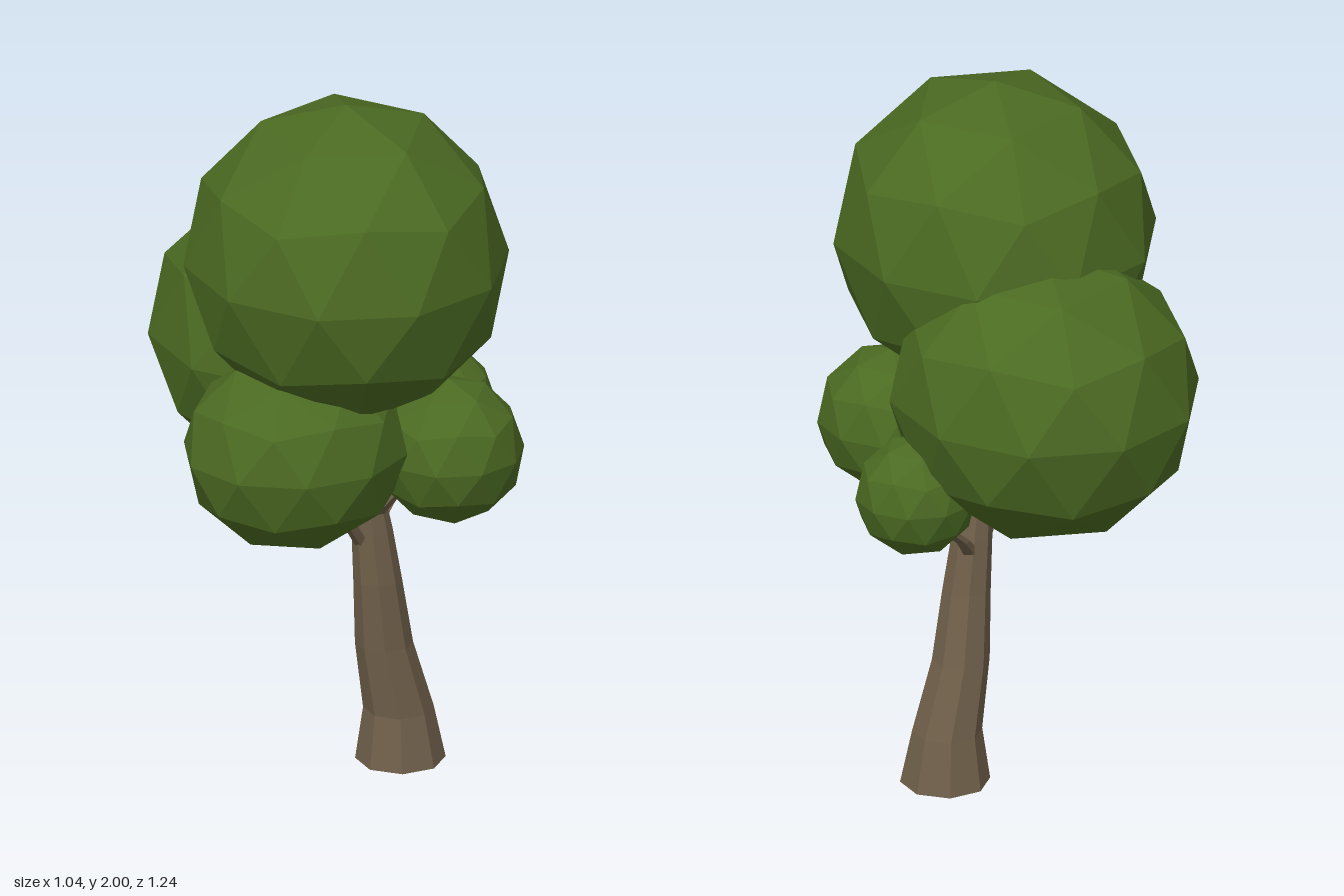
import * as THREE from 'three';

export function createModel() {
  const tree = new THREE.Group();
  tree.name = 'tree';

  const foliage = new THREE.MeshStandardMaterial({ color: 0x4b6a22, flatShading: true });
  foliage.name = 'leaf green';
  const bark = new THREE.MeshStandardMaterial({ color: 0x70604a, flatShading: true });
  bark.name = 'bark brown';

  // Faceted leaf clump: icosphere with a vertex at the pole, squashed to its radii
  function clump(name, center, radii, turn = 0) {
    const geo = new THREE.IcosahedronGeometry(1, 1);
    geo.rotateX(-Math.atan((1 + Math.sqrt(5)) / 2));
    geo.rotateY(Math.PI / 2 + turn);
    geo.scale(...radii);
    const mesh = new THREE.Mesh(geo, foliage);
    mesh.name = name;
    mesh.position.set(...center);
    tree.add(mesh);
  }

  // Bent, tapering limb through rings of [x, y, z, radius]
  function limb(name, rings, sides) {
    const n = rings.length - 1;
    const geo = new THREE.CylinderGeometry(1, 1, n, sides, n);
    geo.rotateY(Math.PI / sides);
    const p = geo.attributes.position;
    for (let i = 0; i < p.count; i++) {
      const [x, y, z, r] = rings[Math.round(p.getY(i) + n / 2)];
      p.setXYZ(i, x + p.getX(i) * r, y, z + p.getZ(i) * r);
    }
    geo.computeVertexNormals();
    const mesh = new THREE.Mesh(geo, bark);
    mesh.name = name;
    tree.add(mesh);
  }

  // Crown
  clump('topClump', [-0.03, 1.55, 0.16], [0.444, 0.45, 0.457]);
  clump('backClump', [0, 1.216, -0.17], [0.424, 0.41, 0.449]);
  clump('rightClump', [-0.21, 1.045, 0.22], [0.315, 0.28, 0.29], Math.PI / 10);
  clump('frontClump', [0.215, 0.995, 0.295], [0.205, 0.205, 0.21]);
  clump('leftClump', [0.357, 0.955, -0.1], [0.17, 0.168, 0.165]);

  // Trunk
  limb('trunk', [
    [0.185, 0, 0.05, 0.123],
    [0.18, 0.15, 0.048, 0.096],
    [0.133, 0.35, 0.056, 0.079],
    [0.106, 0.55, 0.072, 0.066],
    [0.088, 0.7, 0.075, 0.056],
    [0.062, 0.9, 0.08, 0.036],
    [0.04, 1.1, 0.08, 0.022],
  ], 8);

  // Branches reaching into the lower clumps
  limb('rightBranch', [
    [0.06, 0.66, 0.08, 0.024],
    [0.005, 0.74, 0.11, 0.02],
    [-0.07, 0.86, 0.16, 0.014],
  ], 5);
  limb('leftBranch', [
    [0.105, 0.66, 0.05, 0.026],
    [0.15, 0.72, 0.015, 0.021],
    [0.28, 0.84, -0.05, 0.014],
  ], 5);
  limb('frontBranch', [
    [0.085, 0.74, 0.09, 0.022],
    [0.1, 0.79, 0.135, 0.018],
    [0.15, 0.9, 0.21, 0.014],
  ], 5);

  return tree;
}
